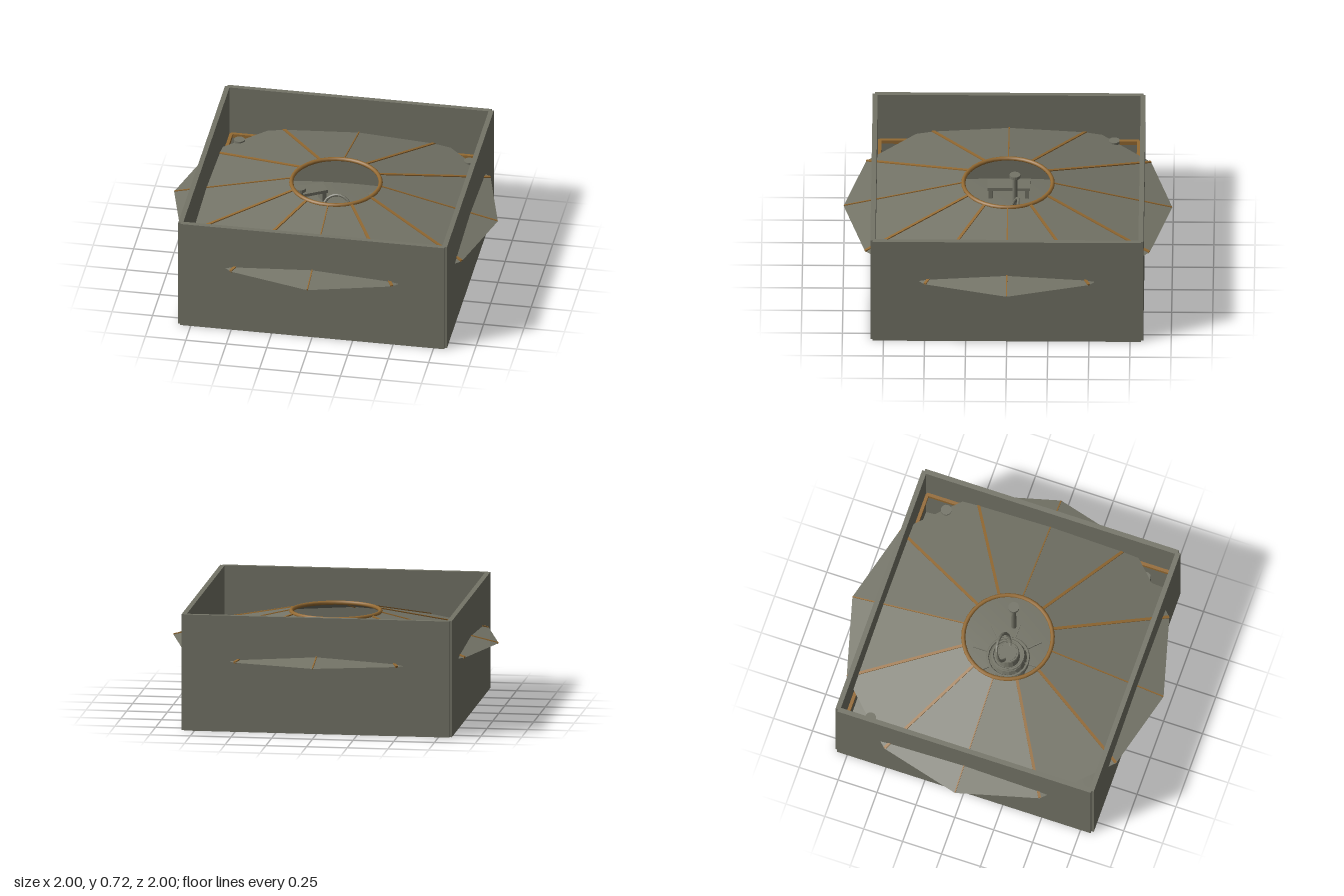
import * as THREE from 'three';

export function createModel() {
  const model = new THREE.Group();
  const mat = (name, color, side = THREE.FrontSide, flatShading = false) => {
    const m = new THREE.MeshStandardMaterial({ color, side, flatShading });
    m.name = name;
    return m;
  };
  const stone = mat('olive grey', 0x747467, THREE.DoubleSide, true);
  const wood = mat('brown wood', 0x946a32);

  const add = (name, geometry, material, x = 0, y = 0, z = 0, parent = model) => {
    const mesh = new THREE.Mesh(geometry, material);
    mesh.name = name;
    mesh.position.set(x, y, z);
    parent.add(mesh);
    return mesh;
  };
  const box = (w, h, d) => new THREE.BoxGeometry(w, h, d);
  const cyl = (r1, r2, h, n = 16, open = false) => new THREE.CylinderGeometry(r1, r2, h, n, 1, open);

  // Square enclosure: four thin walls with a wooden rail inside each
  const wallHeight = 0.718;
  for (let i = 0; i < 4; i++) {
    const side = new THREE.Group();
    side.name = 'wallSide';
    side.rotation.y = i * Math.PI / 2;
    model.add(side);
    add('wall', box(1.63, wallHeight, 0.03), stone, 0, wallHeight / 2, 0.815, side);
    add('wallRail', box(1.58, 0.025, 0.02), wood, 0, 0.39, 0.787, side);
  }

  // Gently domed floor, lowest in the corners
  const floor = new THREE.PlaneGeometry(1.61, 1.61, 16, 16).rotateX(-Math.PI / 2);
  const p = floor.attributes.position;
  const floorY = (x, z) => 0.19 - 0.117 * (x * x + z * z);
  for (let i = 0; i < p.count; i++) p.setY(i, floorY(p.getX(i), p.getZ(i)));
  floor.computeVertexNormals();
  const floorMaterial = mat('floor grey', 0x747467, THREE.DoubleSide);
  add('floor', floor, floorMaterial);

  // Twelve-sided roof, open in the middle, running out through the walls
  const eaveY = 0.435, crownY = 0.607, crownR = 0.27;
  add('roof', cyl(crownR, 1, crownY - eaveY, 12, true), stone, 0, (eaveY + crownY) / 2, 0);

  // Ribs along the roof folds
  const run = 1 - crownR, slope = Math.atan2(crownY - eaveY, run);
  for (let i = 0; i < 12; i++) {
    const arm = new THREE.Group();
    arm.name = 'roofRib';
    arm.rotation.y = i * Math.PI / 6;
    model.add(arm);
    const w = i % 3 ? 0.017 : 0.007;
    const rib = add('rib', box(w, 0.012, run / Math.cos(slope) - 0.006), wood,
      0, (eaveY + crownY) / 2, (1 + crownR) / 2, arm);
    rib.rotation.x = slope;
  }

  // Crown ring round the opening
  add('crownRing', new THREE.TorusGeometry(0.272, 0.013, 8, 36).rotateX(Math.PI / 2), wood, 0, crownY, 0);

  // Corner posts
  for (const x of [-0.71, 0.71]) {
    for (const [z, top] of [[-0.64, 0.455], [0.64, 0.4]]) {
      const base = floorY(x, z) - 0.01;
      add('cornerPost', cyl(0.033, 0.033, top - base), stone, x, (top + base) / 2, z);
    }
  }

  // Central hearth: basin, rings, spokes and a standing hoop
  add('hearthBase', cyl(0.1, 0.13, 0.08, 16), stone, 0, 0.225, 0);
  for (const [r, y] of [[0.125, 0.25], [0.095, 0.29], [0.06, 0.33]]) {
    add('hearthRing', new THREE.TorusGeometry(r, 0.009, 6, 20).rotateX(Math.PI / 2), stone, 0, y, 0);
  }
  add('kettle', cyl(0.055, 0.075, 0.08, 16), stone, 0, 0.3, 0);
  for (let i = 0; i < 8; i++) {
    const spoke = new THREE.Group();
    spoke.name = 'hearthSpoke';
    spoke.rotation.y = i * Math.PI / 4;
    model.add(spoke);
    add('spoke', box(0.007, 0.01, 0.12), stone, 0, 0.24, 0.165, spoke);
  }
  const hoop = add('hoop', new THREE.TorusGeometry(0.085, 0.009, 8, 24), stone, 0, 0.4, -0.03);
  hoop.rotation.x = -0.4;

  // Two supporting posts beside the hearth
  for (const x of [-0.225, 0.225]) {
    add('supportPost', cyl(0.014, 0.018, 0.32, 10), stone, x, 0.34, -0.04);
    add('postCap', cyl(0.033, 0.033, 0.02, 16), stone, x, 0.51, -0.04);
  }

  // Benches and low tables round the room, their feet set into the floor
  for (let i = 0; i < 6; i++) {
    const place = new THREE.Group();
    place.name = 'bench';
    place.rotation.y = Math.PI / 6 + i * Math.PI / 3;
    model.add(place);
    add('benchSeat', box(0.26, 0.02, 0.1), stone, 0, 0.23, 0.55, place);
    for (const x of [-0.11, 0.11]) {
      add('benchLeg', box(0.025, 0.1, 0.08), stone, x, 0.18, 0.55, place);
    }
  }
  return model;
}
